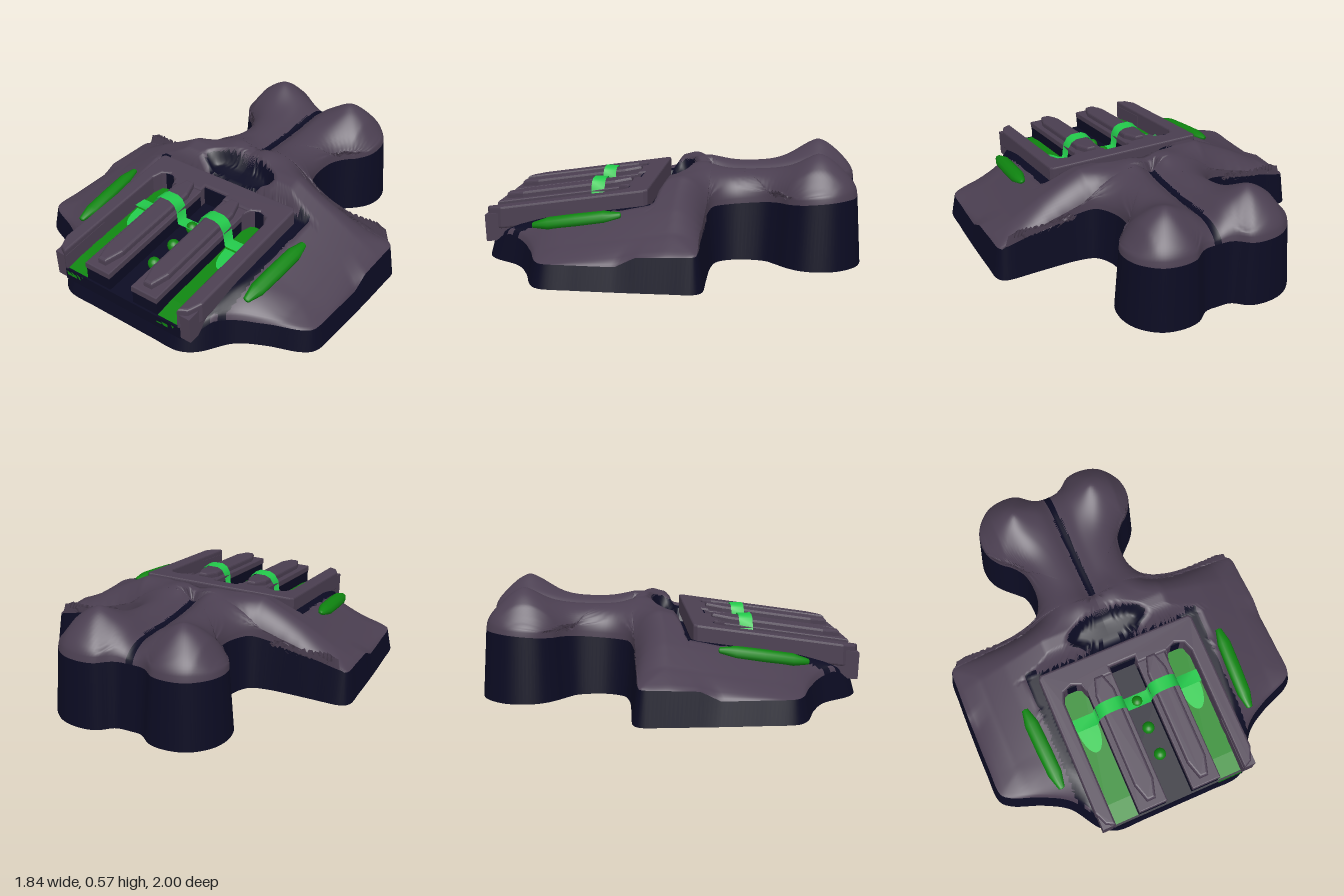
import * as THREE from 'three';

const mat = (name, color, side = THREE.FrontSide) => {
  const m = new THREE.MeshStandardMaterial({ color, side });
  m.name = name;
  return m;
};

// piecewise-linear lookup in a short table of [key, value]
function lookup(table, v) {
  if (v <= table[0][0]) return table[0][1];
  for (let i = 1; i < table.length; i++) {
    const [a, ya] = table[i - 1], [b, yb] = table[i];
    if (v <= b) return ya + (yb - ya) * (v - a) / (b - a);
  }
  return table[table.length - 1][1];
}
const bump = (x, z, cx, cz, r) => Math.exp(-((x - cx) ** 2 + (z - cz) ** 2) / (r * r));
const smooth = THREE.MathUtils.smoothstep;

// sloping top plane of the front panel
const panelTop = z => 0.40 - 0.15 * (z - 0.15);

const ACROSS = [[0, .46], [.36, .46], [.45, .415], [.6, .34], [.75, .255], [.87, .21], [.93, .16]];
const ALONG = [[-.05, 1], [.2, .85], [.46, .7], [.7, .58], [1, .5]];
const CAP = [[-.2, .6], [-.05, .48], [.02, .44], [.05, .40], [.08, .32]];

// height of the shell above any ground point
function shellHeight(x, z) {
  const ax = Math.abs(x);
  let h = lookup(ACROSS, ax) * lookup(ALONG, z);
  if (z < -.2) h = Math.max(h, .43);
  const r = Math.hypot(ax - .235, z + .77);
  h += .115 * Math.exp(-((r / .15) ** 1.5));
  h += .03 * bump(ax, z, .1, -.15, .09);
  if (z < -.18) h -= .045 * Math.exp(-((x / .06) ** 2));
  h -= .08 * (1 - smooth(Math.hypot(x / .24, z / .09), .7, 1.05));
  if (z <= .08) h = Math.min(h, lookup(CAP, z));
  else if (ax < .43) h = Math.min(h, panelTop(z) - .16);
  else if (ax < .52) h = Math.min(h, panelTop(z) - .085);
  return h;
}

// height where the dark wall meets the shell
function rimHeight(x, z) {
  const ax = Math.abs(x);
  if (z < -.195) {
    const back = .3 + .06 * smooth(-z, .25, .95);
    return ax > .35 && z > -.3 ? lookup([[.35, .3], [.9, .18]], ax) : back;
  }
  return lookup([[-.2, .18], [.1, .17], [.2, .12], [.7, .12], [.85, .15], [.95, .09]], z);
}

// dark areas of the shell: spine, recess, gap behind panel, side channels
function isDark(x, z) {
  const ax = Math.abs(x);
  return (ax < .02 && z < -.2) || Math.hypot(x / .23, z / .085) < 1 ||
    (ax < .47 && z > .075) || (ax < .515 && ax > .455 && z > .06 && z < .82);
}

function buildBody(shellMat, darkMat) {
  const half = [[0, -.92], [.07, -.925], [.15, -.985], [.24, -1], [.34, -.98], [.41, -.93], [.46, -.86],
    [.48, -.77], [.465, -.68], [.41, -.6], [.36, -.56], [.315, -.5], [.3, -.42], [.31, -.33], [.36, -.25],
    [.45, -.225], [.7, -.222], [.87, -.22], [.905, -.19], [.915, -.05], [.92, .4], [.91, .58], [.86, .63], [.69, .70],
    [.56, .78], [.45, .94], [.37, .99], [.2, .995], [0, .995]];
  const curve = new THREE.CatmullRomCurve3(half.map(([x, z]) => new THREE.Vector3(x, 0, z)));
  curve.arcLengthDivisions = 1000;
  const right = curve.getSpacedPoints(180);
  const left = right.slice(1, -1).reverse().map(p => new THREE.Vector3(-p.x, 0, p.z));
  const outer = [...right, ...left], n = outer.length;
  const inner = outer.map((p, j) => {
    const t = outer[(j + 1) % n].clone().sub(outer[(j + n - 1) % n]).normalize();
    return new THREE.Vector3(p.x - t.z * .025, 0, p.z + t.x * .025);
  });
  const centre = new THREE.Vector3(0, 0, -.2);

  // shell: rings from the centre to the rim, rounded over near the edge
  const rings = 56, pos = [], light = [], dark = [];
  for (let i = 0; i <= rings; i++) {
    const t = 1 - (1 - i / rings) ** 1.25;
    for (const q of inner) {
      const p = centre.clone().lerp(q, t);
      let d = Infinity;
      for (const e of inner) d = Math.min(d, Math.hypot(e.x - p.x, e.z - p.z));
      if (i === rings) d = 0;
      const k = Math.min(d / .16, 1), f = Math.sqrt(1 - (1 - k) ** 2);
      const rim = rimHeight(q.x, q.z);
      pos.push(p.x, rim + (shellHeight(p.x, p.z) - rim) * f, p.z);
    }
  }
  const add = (a, b, c) => {
    const x = (pos[3 * a] + pos[3 * b] + pos[3 * c]) / 3;
    const z = (pos[3 * a + 2] + pos[3 * b + 2] + pos[3 * c + 2]) / 3;
    (isDark(x, z) ? dark : light).push(a, b, c);
  };
  for (let i = 0; i < rings; i++) for (let j = 0; j < n; j++) {
    const k = (j + 1) % n, a = i * n + j, b = i * n + k;
    if (i > 0) add(a, b, b + n), add(a, b + n, a + n);
    else add(a, b + n, a + n);
  }
  const shellGeo = new THREE.BufferGeometry();
  shellGeo.setAttribute('position', new THREE.Float32BufferAttribute(pos, 3));
  shellGeo.setIndex([...light, ...dark]);
  shellGeo.addGroup(0, light.length, 0);
  shellGeo.addGroup(light.length, dark.length, 1);
  shellGeo.computeVertexNormals();
  const shell = new THREE.Mesh(shellGeo, [shellMat, darkMat]);
  shell.name = 'shell';

  // wall and underside
  const wp = [], wi = [];
  for (const p of outer) wp.push(p.x, 0, p.z);
  inner.forEach(q => wp.push(q.x, rimHeight(q.x, q.z), q.z));
  for (const p of outer) wp.push(p.x, 0, p.z);
  wp.push(0, 0, -.2);
  for (let j = 0; j < n; j++) {
    const k = (j + 1) % n;
    wi.push(k, j, n + j, k, n + j, n + k, 3 * n, 2 * n + j, 2 * n + k);
  }
  const wallGeo = new THREE.BufferGeometry();
  wallGeo.setAttribute('position', new THREE.Float32BufferAttribute(wp, 3));
  wallGeo.setIndex(wi);
  wallGeo.computeVertexNormals();
  const wall = new THREE.Mesh(wallGeo, darkMat);
  wall.name = 'baseWall';
  return [shell, wall];
}

// plan outline [x, z] raised between two offsets from the panel plane
function slab(points, low, high, bevel = 0) {
  const shape = new THREE.Shape(points.map(([x, z]) => new THREE.Vector2(x, -z)));
  const g = new THREE.ExtrudeGeometry(shape, { depth: high - low - 2 * bevel, bevelEnabled: bevel > 0,
    bevelSize: bevel, bevelThickness: bevel, bevelOffset: -bevel, bevelSegments: 3 });
  g.rotateX(-Math.PI / 2);
  const p = g.attributes.position;
  for (let i = 0; i < p.count; i++) p.setY(i, p.getY(i) + low + bevel + panelTop(p.getZ(i)));
  g.computeVertexNormals();
  return g;
}

// side outline [z, y] extruded across x
function prism(points, x, width) {
  const shape = new THREE.Shape(points.map(([z, y]) => new THREE.Vector2(z, y)));
  const g = new THREE.ExtrudeGeometry(shape, { depth: width, bevelEnabled: false });
  return g.translate(0, 0, -width / 2).rotateY(-Math.PI / 2).translate(x, 0, 0);
}

export function createModel() {
  const group = new THREE.Group();
  const shellMat = mat('dusky purple', 0x4b3f51), darkMat = mat('dark navy', 0x0b0b22);
  const green = mat('green', 0x0f8510), bright = mat('bright green', 0x22c84a, THREE.DoubleSide);
  const put = (name, geo, m) => {
    const mesh = new THREE.Mesh(geo, m);
    mesh.name = name;
    group.add(mesh);
    return mesh;
  };
  group.add(...buildBody(shellMat, darkMat));

  // panel frame with rails and slots open to the front
  const side = [[.075, .21], [.075, .25], [.24, .25], [.24, .30], [.26, .245], [.31, .225], [.36, .245], [.38, .30],
    [.38, .995], [.43, .97], [.46, .9], [.46, .13], [.445, .11]];
  const frame = [...side, ...side.map(([x, z]) => [-x, z]).reverse()];
  put('panelFrame', slab(frame, -.12, 0, .012), shellMat);

  // dark bed under the slots
  const floor = z => panelTop(z) - .118;
  put('panelBed', prism([[.13, .1], [.99, .09], [.99, floor(.99)], [.13, floor(.13)]], 0, .78), darkMat);
  put('centreSlotEnd', new THREE.BoxGeometry(.148, .1, .008).translate(0, .328, .216), darkMat);

  for (const s of [1, -1]) {
    const rect = (a, b, z0, z1) => [[s * a, z0], [s * b, z0], [s * b, z1], [s * a, z1]];
    put('divider', slab(rect(.075, .24, .2, .985), -.05, -.012, .006), shellMat);
    put('dividerBase', slab(rect(.078, .237, .2, .98), -.12, -.045), darkMat);
    put('slotEnd', new THREE.BoxGeometry(.09, .1, .008).translate(s * .31, .33, .232), darkMat);

    // raised bar with tapered ends
    const bar = [[.13, .24], [.18, .24], [.21, .33], [.21, .85], [.18, .95], [.13, .95], [.1, .85], [.1, .33]];
    put('raisedBar', slab(bar.map(([x, z]) => [s * x, z]), -.06, .022, .014), shellMat);

    // front cheek below the rail
    put('railCheek', prism([[.7, .2], [.78, .21], [.86, .16], [.93, .1], [.985, .095], [.99, .24], [.7, .29]],
      s * .415, .075), shellMat);

    // glowing slot floor with a brighter pool
    put('slotFloor', prism([[.23, .2], [.99, .12], [.99, .155], [.87, floor(.87) + .01], [.23, floor(.23) + .01]],
      s * .31, .14), green);
    const pool = new THREE.CircleGeometry(1, 24, Math.PI, Math.PI).rotateX(-Math.PI / 2);
    pool.scale(.06, 1, .14).rotateX(Math.atan(.15)).translate(s * .31, floor(.45) + .014, .45);
    put('slotGlow', pool, bright);

    // pointed wing light
    const profile = [[0, -.24], [.018, -.235], [.04, -.15], [.042, 0], [.04, .15], [.018, .235], [0, .24]];
    const lamp = new THREE.LatheGeometry(profile.map(([r, y]) => new THREE.Vector2(r, y)), 10);
    lamp.scale(1, 1, .75).rotateX(Math.PI / 2 + .165).rotateZ(-s * .3).translate(s * .578, .262, .46);
    put('wingLight', lamp, green);
  }

  // studs along the centre slot
  for (const z of [.42, .575, .73]) {
    put('centreStud', new THREE.SphereGeometry(.034, 16, 10).translate(0, floor(z) + .015, z), green);
  }

  // bright strap draped over the bars
  const drape = [[.38, .268], [.25, .268], [.238, .35], [.215, .385], [.185, .4], [.125, .4], [.095, .385],
    [.076, .35], [.07, .272]];
  const path = [...drape, ...drape.map(([x, y]) => [-x, y]).reverse()];
  const strap = new THREE.PlaneGeometry(1, 1, path.length - 1, 1);
  const sp = strap.attributes.position;
  for (let i = 0; i < sp.count; i++) {
    const [x, y] = path[i % path.length];
    sp.setXYZ(i, -x, y, i < path.length ? .382 : .455);
  }
  strap.computeVertexNormals();
  put('strap', strap, bright);
  return group;
}
